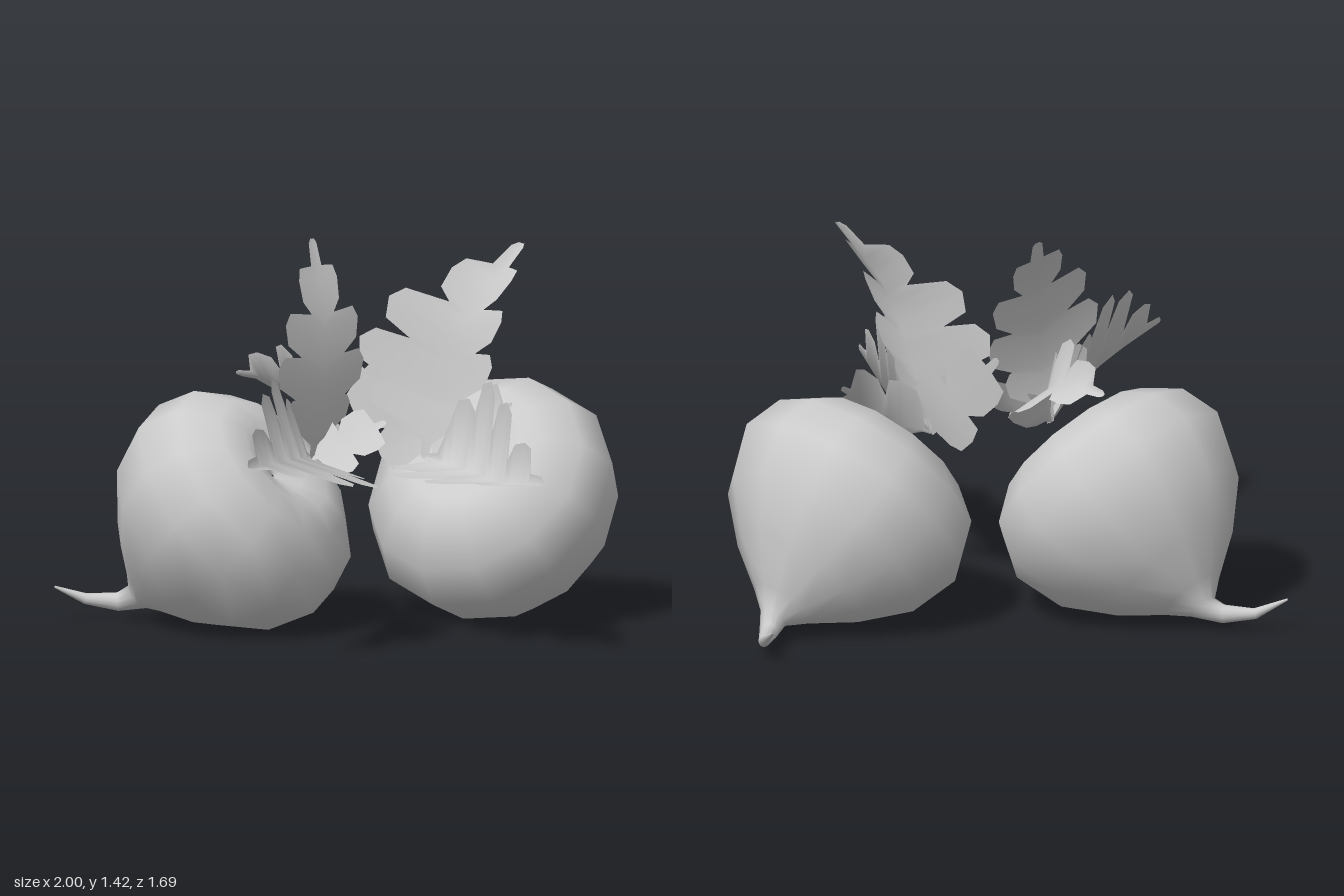
import * as THREE from 'three';

const V = (p) => new THREE.Vector3(...p);
const material = new THREE.MeshStandardMaterial({ color: 0xcccccc });
const leafMaterial = new THREE.MeshStandardMaterial({ color: 0xcccccc, side: THREE.DoubleSide });
const SIDES = 12;

function makeMesh(name, positions, index, mat) {
  const geometry = new THREE.BufferGeometry();
  geometry.setAttribute('position', new THREE.Float32BufferAttribute(positions, 3));
  geometry.setIndex(index);
  geometry.computeVertexNormals();
  const mesh = new THREE.Mesh(geometry, mat);
  mesh.name = name;
  return mesh;
}

// Bulb profile: distance along the axis (crown to root) and radius
const PROFILE = [
  [-0.21, 0.005], [-0.25, 0.1], [-0.285, 0.2], [-0.26, 0.31], [-0.16, 0.43],
  [-0.01, 0.48], [0.18, 0.415], [0.34, 0.27], [0.46, 0.12], [0.52, 0.055],
];

// Bulb whose lower end runs on into a thin bent root
function makeBulb(name, centre, axis, root) {
  const c = V(centre), dir = V(axis).normalize();
  const base = new THREE.Quaternion().setFromUnitVectors(new THREE.Vector3(0, 1, 0), dir);
  const rings = PROFILE.map(([s, r]) => ({ p: c.clone().addScaledVector(dir, s), r, t: dir }));
  const rootPoints = root.map(V);
  const radii = [0.034, 0.02, 0.004];
  rootPoints.forEach((p, i) => {
    const from = i ? rootPoints[i - 1] : rings[PROFILE.length - 1].p;
    const to = rootPoints[Math.min(i + 1, rootPoints.length - 1)];
    rings.push({ p, r: radii[i], t: to.clone().sub(from).normalize() });
  });

  const positions = [], index = [];
  rings.forEach(({ p, r, t }, i) => {
    const q = new THREE.Quaternion().setFromUnitVectors(dir, t).multiply(base);
    for (let j = 0; j < SIDES; j++) {
      const a = ((j + 0.5) / SIDES) * Math.PI * 2;
      const v = new THREE.Vector3(Math.sin(a) * r, 0, Math.cos(a) * r).applyQuaternion(q).add(p);
      positions.push(v.x, v.y, v.z);
      if (i === rings.length - 1) continue;
      const k = (j + 1) % SIDES, o = i * SIDES;
      index.push(o + j, o + k, o + SIDES + j, o + k, o + SIDES + k, o + SIDES + j);
    }
  });
  return makeMesh(name, positions, index, material);
}

// Rows of a leaf: midrib position, edge position (swept forward) and width share
function leafRows(lobes) {
  const rows = [[0, 0, 0.05], [0.08, 0.08, 0.08]];
  const start = 0.13, step = (0.86 - start) / lobes;
  for (let k = 0; k < lobes; k++) {
    const t = start + k * step;
    const size = Math.sin(Math.PI * Math.pow((k + 0.8) / (lobes + 0.7), 0.75));
    rows.push([t, t + 0.02, size * 0.58]);
    rows.push([t + step * 0.3, t + step * 0.35, size * 0.94]);
    rows.push([t + step * 0.6, t + step * 0.8, size]);
    rows.push([t + step * 0.85, t + step * 1.08, size * 0.86]);
  }
  rows.push([0.88, 0.89, 0.12], [0.97, 0.98, 0.09], [1, 1, 0.04]);
  return rows;
}

// Lobed leaf folded along its midrib; left and right are the half-width vectors
function makeLeaf(name, path, left, right, lobes) {
  const curve = new THREE.CatmullRomCurve3(path.map(V));
  const l = V(left), r = V(right);
  const positions = [], index = [];
  leafRows(lobes).forEach(([t, te, w], i) => {
    const edge = curve.getPoint(Math.min(te, 1));
    const points = [
      edge.clone().addScaledVector(l, w),
      curve.getPoint(t),
      edge.clone().addScaledVector(r, w),
    ];
    points.forEach((p) => positions.push(p.x, p.y, p.z));
    if (i === 0) return;
    const b = i * 3, a = b - 3;
    for (let j = 0; j < 2; j++) {
      index.push(a + j, a + j + 1, b + j, a + j + 1, b + j + 1, b + j);
    }
  });
  return makeMesh(name, positions, index, leafMaterial);
}

export function createModel() {
  const group = new THREE.Group();
  group.name = 'rootVegetables';

  // Two bulbs leaning their crowns toward each other
  group.add(makeBulb('rightBulb', [-0.42, 0.435, -0.3], [-0.28, -0.35, -0.28],
    [[-0.77, 0.07, -0.6], [-0.88, 0.08, -0.64], [-1, 0.13, -0.64]]));
  group.add(makeBulb('leftBulb', [0.565, 0.435, -0.28], [0.3, -0.33, -0.24],
    [[0.9, 0.07, -0.62], [0.93, 0.07, -0.73], [0.91, 0.14, -0.85]]));

  // Large leaves spring from the two crowns
  const a = [-0.2, 0.65, -0.06], b = [0.24, 0.63, -0.08];
  group.add(makeLeaf('rightUprightLeaf',
    [a, [-0.17, 0.86, -0.03], [-0.14, 1.14, -0.1], [-0.12, 1.42, -0.31]],
    [-0.24, 0.06, 0.21], [0.21, 0.02, -0.19], 4));
  group.add(makeLeaf('leftUprightLeaf',
    [b, [0.3, 0.85, -0.07], [0.39, 1.15, -0.03], [0.58, 1.42, 0.02]],
    [-0.28, 0.1, -0.21], [0.09, 0.03, 0.22], 4));
  group.add(makeLeaf('rightFrontLeaf',
    [a, [-0.33, 0.7, 0.2], [-0.49, 0.73, 0.46], [-0.69, 0.76, 0.73]],
    [0.3, -0.11, 0.08], [-0.08, 0.3, 0], 4));
  group.add(makeLeaf('leftFrontLeaf',
    [b, [0.32, 0.62, 0.2], [0.35, 0.62, 0.5], [0.4, 0.66, 0.84]],
    [-0.34, 0.02, 0.04], [0.03, 0.35, 0.02], 4));
  group.add(makeLeaf('rightBackLeaf',
    [a, [-0.17, 0.82, -0.2], [-0.23, 0.89, -0.35], [-0.34, 0.9, -0.53]],
    [-0.04, 0.17, 0.02], [0.16, -0.1, -0.02], 3));

  // Small leaves low at the crowns
  group.add(makeLeaf('leftInnerLeaf',
    [b, [0.2, 0.72, -0.14], [0.11, 0.84, -0.21], [0.02, 0.97, -0.28]],
    [-0.08, -0.13, -0.03], [0.1, 0.12, 0.05], 2));
  group.add(makeLeaf('leftSmallLeaf',
    [b, [0.35, 0.66, -0.02], [0.47, 0.73, 0], [0.57, 0.81, -0.07]],
    [-0.03, 0.17, -0.08], [0.05, -0.09, 0.16], 2));
  group.add(makeLeaf('rightSmallLeaf',
    [a, [-0.12, 0.68, -0.05], [-0.03, 0.73, -0.03], [0.07, 0.78, -0.02]],
    [-0.05, 0.09, -0.09], [0.02, -0.08, 0.1], 2));
  return group;
}
